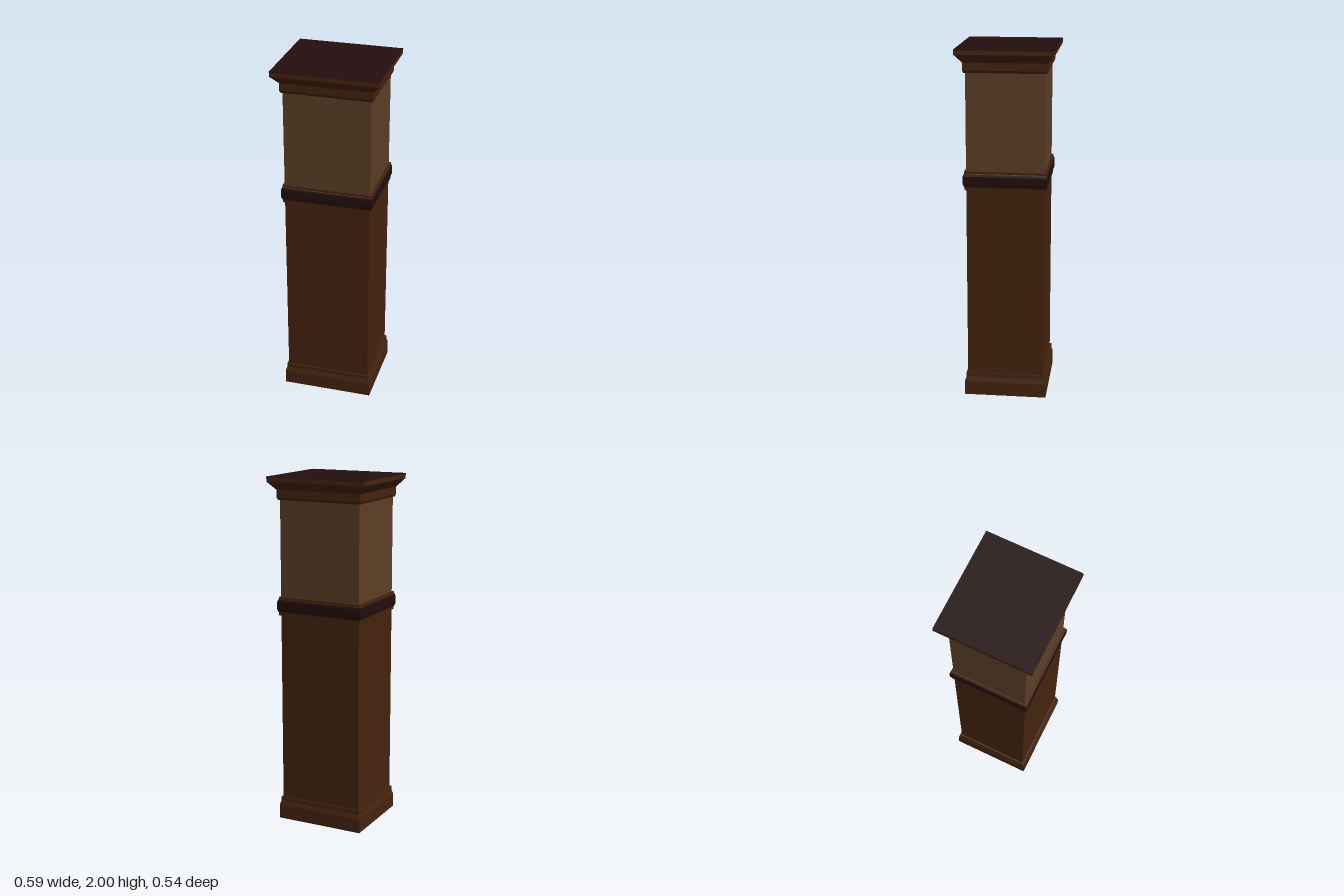
import * as THREE from 'three';

// Half sizes of the plain shaft
const HX = 0.243, HZ = 0.217;

const material = (name, color) => new THREE.MeshStandardMaterial({ name, color, side: THREE.DoubleSide });

// Sweep a profile of [outward offset, height] points, bottom to top, round the four sides
function rectSweep(profile) {
  const corners = [[1, 1], [1, -1], [-1, -1], [-1, 1]];
  const positions = [];
  const point = ([offset, y], [sx, sz]) => [sx * (HX + offset), y, sz * (HZ + offset)];
  for (let i = 0; i < profile.length - 1; i++) {
    for (let s = 0; s < 4; s++) {
      const c0 = corners[s], c1 = corners[(s + 1) % 4];
      const a = point(profile[i], c0), b = point(profile[i], c1);
      const c = point(profile[i + 1], c1), d = point(profile[i + 1], c0);
      positions.push(...a, ...b, ...c, ...a, ...c, ...d);
    }
  }
  const geometry = new THREE.BufferGeometry();
  geometry.setAttribute('position', new THREE.Float32BufferAttribute(positions, 3));
  geometry.computeVertexNormals();
  return geometry;
}

export function createModel() {
  const group = new THREE.Group();
  group.name = 'pillar';
  const wood = material('brown wood', 0x45240f);
  const panel = material('light brown wood', 0x5c3f26);
  const dark = material('dark mahogany', 0x240e0e);

  const add = (name, geometry, mat) => {
    const mesh = new THREE.Mesh(geometry, mat);
    mesh.name = name;
    group.add(mesh);
    return mesh;
  };

  // Hollow plinth, open underneath
  add('base', rectSweep([[0.017, 0], [0.017, 0.08], [0.009, 0.108], [0.009, 0.13], [0, 0.13]]), wood);

  // Shaft in two sections
  add('lowerShaft', rectSweep([[0, 0.13], [0, 1.22]]), wood);
  add('upperShaft', rectSweep([[0, 1.325], [0, 1.87]]), panel);

  // Middle moulding: a dark rounded band between two fillets
  add('lowerFillet', rectSweep([[0, 1.22], [0.009, 1.22], [0.009, 1.234], [0.013, 1.243]]), wood);
  add('middleBand', rectSweep([[0.013, 1.243], [0.017, 1.255], [0.017, 1.298], [0.013, 1.31]]), dark);
  add('upperFillet', rectSweep([[0.013, 1.31], [0.01, 1.313], [0.01, 1.325], [0, 1.325]]), wood);

  // Flared capital with a dark top
  add('capital', rectSweep([[0, 1.87], [0.008, 1.87], [0.014, 1.884], [0.014, 1.926],
    [0.054, 1.972], [0.054, 1.998]]), wood);
  const top = add('capitalTop', new THREE.BoxGeometry(2 * (HX + 0.054), 0.004, 2 * (HZ + 0.054)), dark);
  top.position.y = 1.998;

  return group;
}
